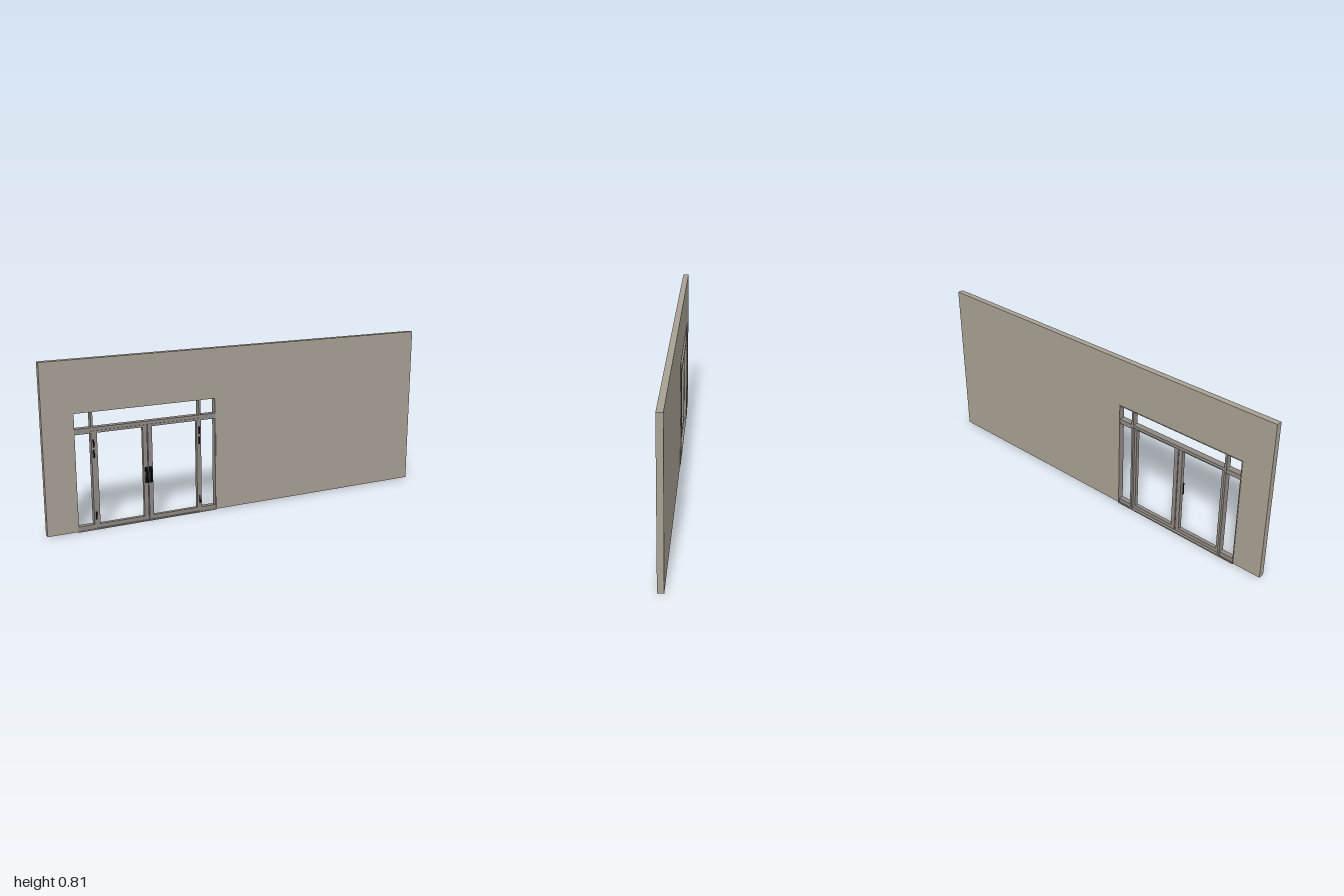
import * as THREE from 'three';

export function createModel() {
  const model = new THREE.Group();
  const wallMat = new THREE.MeshStandardMaterial({ color: 0xa8a093 });
  const frameMat = new THREE.MeshStandardMaterial({ color: 0x8f8983 });
  const blackMat = new THREE.MeshStandardMaterial({ color: 0x111111 });

  // Box given by its extents on each axis
  function box(name, parent, mat, x0, x1, y0, y1, z0, z1) {
    const mesh = new THREE.Mesh(new THREE.BoxGeometry(x1 - x0, y1 - y0, z1 - z0), mat);
    mesh.position.set((x0 + x1) / 2, (y0 + y1) / 2, (z0 + z1) / 2);
    mesh.name = name;
    parent.add(mesh);
    return mesh;
  }
  function group(name) {
    const g = new THREE.Group();
    g.name = name;
    model.add(g);
    return g;
  }

  const L = -0.855, R = -0.152, HEAD = 0.568, BASE = 0.004;
  const BACK = -0.025, FRONT = 0.005;

  // Wall with the entrance cut out of its lower edge
  const outline = new THREE.Shape();
  [[-1, BASE], [L, BASE], [L, HEAD], [R, HEAD], [R, BASE], [1, BASE], [1, 0.811], [-1, 0.811]]
    .forEach(([x, y], i) => (i ? outline.lineTo(x, y) : outline.moveTo(x, y)));
  const wall = new THREE.Mesh(
    new THREE.ExtrudeGeometry(outline, { depth: FRONT - BACK, bevelEnabled: false }), wallMat);
  wall.position.z = BACK;
  wall.name = 'wall';
  model.add(wall);

  // Fixed frame: sill, head, jambs, mullions and transom
  const frame = group('entranceFrame');
  box('sill', frame, frameMat, L, R, 0, 0.006, -0.027, FRONT);
  box('head', frame, frameMat, L, R, HEAD - 0.003, HEAD, -0.027, 0.003);
  box('transom', frame, frameMat, L, R, 0.478, 0.493, -0.026, 0.005);
  box('leftJamb', frame, frameMat, R - 0.003, R, 0.004, HEAD, -0.028, 0.003);
  box('rightJamb', frame, frameMat, L, L + 0.003, 0.004, HEAD, -0.028, 0.003);
  const mullions = [-0.771, -0.235];
  mullions.forEach((x) =>
    box('mullion', frame, frameMat, x - 0.005, x + 0.005, 0.004, HEAD, -0.027, 0.004));

  // Rails above and below the narrow sidelights
  [[L, -0.776], [-0.23, R]].forEach(([x0, x1]) => {
    box('sidelightBottomRail', frame, frameMat, x0, x1, 0.006, 0.027, -0.022, 0.003);
    box('sidelightTopRail', frame, frameMat, x0, x1, 0.466, 0.478, -0.022, 0.003);
  });

  // Two door leaves with open panes
  function addDoor(name, x0, x1, meeting) {
    const door = group(name);
    const s = 0.021, y0 = 0.008, y1 = 0.477;
    const leaf = new THREE.Shape();
    leaf.moveTo(x0, y0).lineTo(x1, y0).lineTo(x1, y1).lineTo(x0, y1).closePath();
    const pane = new THREE.Path();
    const l = x0 + (meeting < 0 ? s : 0.018), r = x1 - (meeting < 0 ? 0.013 : s);
    pane.moveTo(l, 0.027).lineTo(l, 0.466).lineTo(r, 0.466).lineTo(r, 0.027).closePath();
    leaf.holes.push(pane);
    const mesh = new THREE.Mesh(
      new THREE.ExtrudeGeometry(leaf, { depth: 0.019, bevelEnabled: false }), frameMat);
    mesh.position.z = -0.015;
    mesh.name = 'doorLeaf';
    door.add(mesh);

    // Pull handle: back plate, two standoffs and a round bar
    const hx = meeting < 0 ? x0 + 0.008 : x1 - 0.008;
    box('handlePlate', door, blackMat, hx - 0.006, hx + 0.006, 0.193, 0.271, 0.004, 0.009);
    [0.208, 0.257].forEach((y) =>
      box('handleStandoff', door, blackMat, hx - 0.002, hx + 0.002, y - 0.002, y + 0.002, 0.008, 0.028));
    const bar = new THREE.Mesh(new THREE.CylinderGeometry(0.0025, 0.0025, 0.066, 12), blackMat);
    bar.position.set(hx, 0.233, 0.0255);
    bar.name = 'handleBar';
    door.add(bar);

    // Hinges on the outer stile
    const gx = meeting < 0 ? x1 : x0;
    [[0.052, 0.09], [0.35, 0.386], [0.4, 0.437]].forEach(([a, b]) => {
      const hinge = new THREE.Mesh(new THREE.CylinderGeometry(0.0035, 0.0035, b - a, 12), blackMat);
      hinge.position.set(gx, (a + b) / 2, 0.0055);
      hinge.name = 'hinge';
      door.add(hinge);
    });
  }
  addDoor('rightDoor', -0.766, -0.506, 1);
  addDoor('leftDoor', -0.502, -0.24, -1);

  return model;
}
